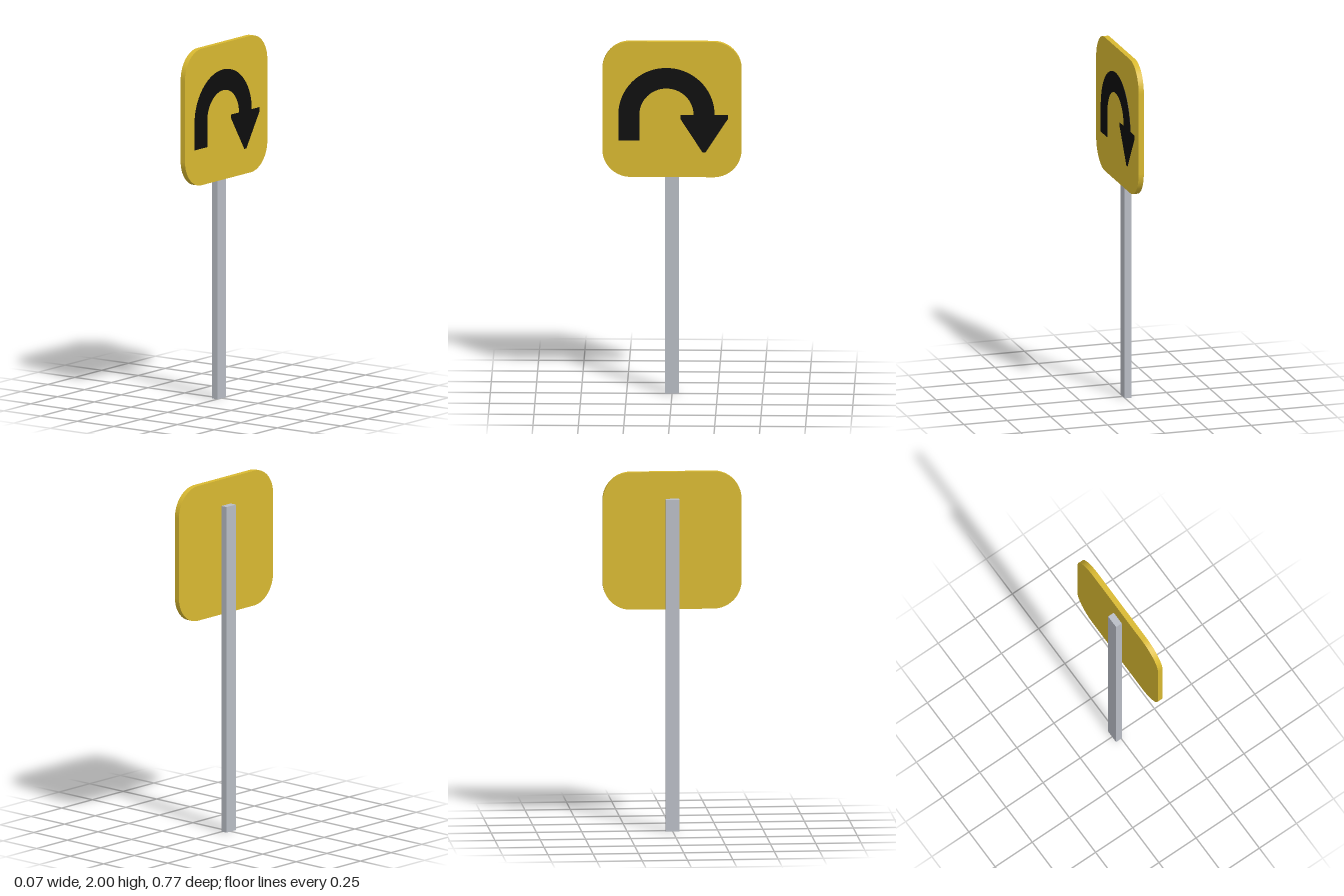
import * as THREE from 'three';
import { toCreasedNormals } from 'three/addons/utils/BufferGeometryUtils.js';

const flat = (name, color) => {
  const m = new THREE.MeshStandardMaterial({ color });
  m.name = name;
  return m;
};

// Square with rounded corners, centred on (0, cy)
function roundedSquare(half, r, cy) {
  const s = new THREE.Shape();
  const c = half - r;
  s.absarc(c, cy + c, r, 0, Math.PI / 2);
  s.absarc(-c, cy + c, r, Math.PI / 2, Math.PI);
  s.absarc(-c, cy - c, r, Math.PI, Math.PI * 1.5);
  s.absarc(c, cy - c, r, Math.PI * 1.5, Math.PI * 2);
  s.closePath();
  return s;
}

// U-turn arrow: straight tail, half-ring bend and a downward head
function turnArrow() {
  const cx = -0.03, cy = 1.587, outer = 0.265, inner = 0.149;
  const s = new THREE.Shape();
  s.moveTo(cx - inner, 1.44);
  s.lineTo(cx - outer, 1.44);
  s.absarc(cx, cy, outer, Math.PI, 0, true);
  s.lineTo(0.308, 1.587);
  s.lineTo(0.308, 1.565);
  s.lineTo(0.185, 1.375);
  s.lineTo(0.168, 1.375);
  s.lineTo(0.046, 1.565);
  s.lineTo(0.046, 1.587);
  s.absarc(cx, cy, inner, 0, Math.PI, false);
  s.closePath();
  return s;
}

// Extrudes a sign shape so that its face looks towards +x
function plate(name, shape, x, depth, material) {
  const geo = new THREE.ExtrudeGeometry(shape, { depth, bevelEnabled: false, curveSegments: 20 });
  const mesh = new THREE.Mesh(toCreasedNormals(geo, 0.5), material);
  mesh.name = name;
  mesh.rotation.y = Math.PI / 2;
  mesh.position.x = x;
  return mesh;
}

export function createModel() {
  const model = new THREE.Group();
  model.name = 'roadSign';
  const yellow = flat('sign yellow', 0xd9b931);
  const black = flat('arrow black', 0x0d0d0d);
  const grey = flat('post grey', 0xb9bdc5);

  // Post behind the panel
  const post = new THREE.Mesh(new THREE.BoxGeometry(0.038, 1.85, 0.076), grey);
  post.name = 'post';
  post.position.set(-0.016, 0.925, 0);
  model.add(post);

  // Panel and its painted arrow
  model.add(plate('panel', roundedSquare(0.383, 0.155, 1.617), 0.003, 0.03, yellow));
  model.add(plate('arrow', turnArrow(), 0.032, 0.003, black));
  return model;
}
